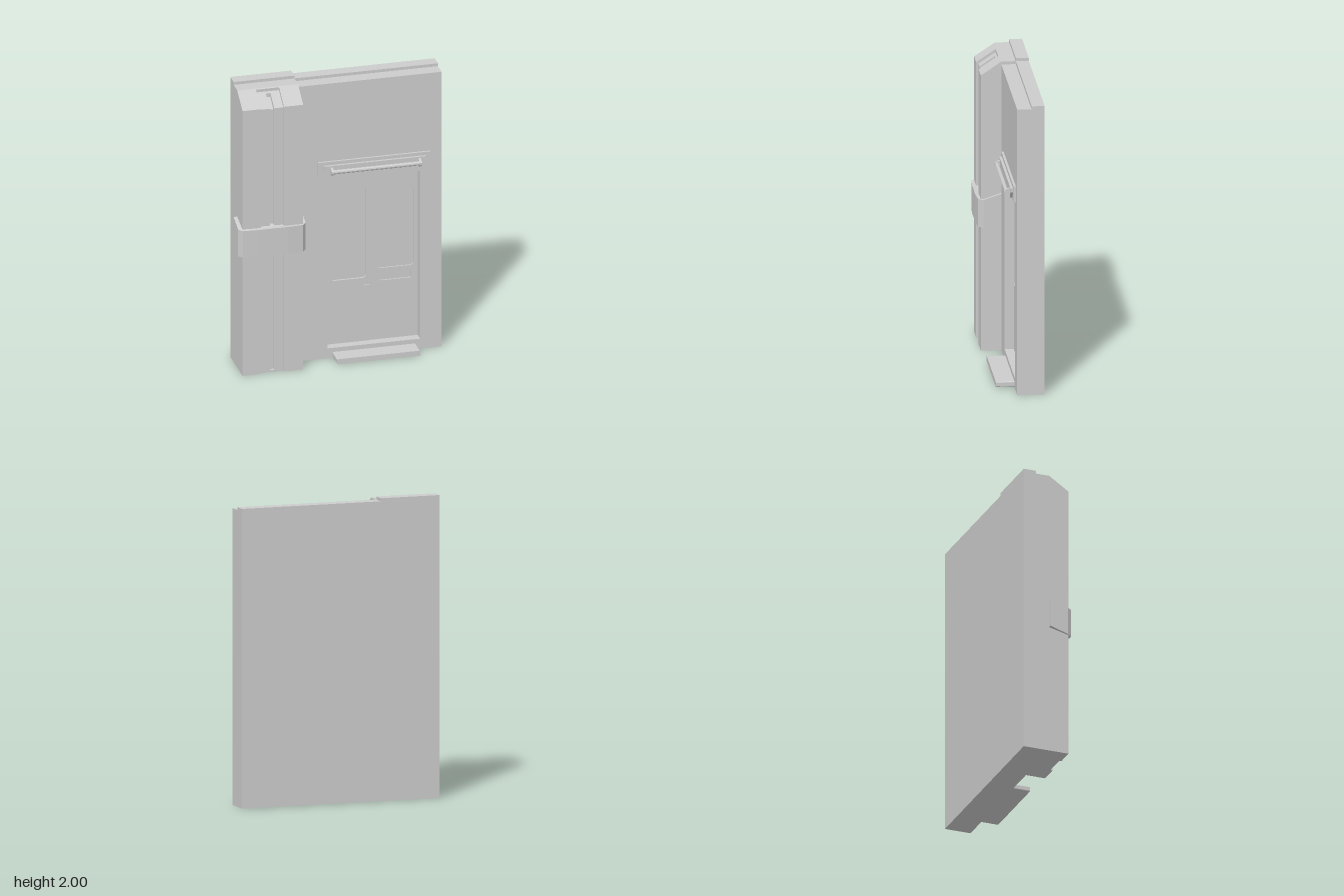
import * as THREE from 'three';

const material = new THREE.MeshStandardMaterial({ color: 0xcccccc, flatShading: true });

export function createModel() {
  const root = new THREE.Group();
  root.name = 'wallSection';

  const add = (name, geometry, parent = root) => {
    const mesh = new THREE.Mesh(geometry, material);
    mesh.name = name;
    parent.add(mesh);
    return mesh;
  };

  const group = (name) => {
    const g = new THREE.Group();
    g.name = name;
    root.add(g);
    return g;
  };

  // Box given by its extents
  const box = (name, x0, x1, y0, y1, z0, z1, parent) => add(name,
    new THREE.BoxGeometry(x1 - x0, y1 - y0, z1 - z0)
      .translate((x0 + x1) / 2, (y0 + y1) / 2, (z0 + z1) / 2), parent);

  const polygon = (pts) => new THREE.Shape(pts.map(([a, b]) => new THREE.Vector2(a, b)));

  // Rectangle with rounded corners
  const rounded = (x0, x1, y0, y1, r) => {
    const s = new THREE.Shape();
    s.absarc(x1 - r, y1 - r, r, 0, Math.PI / 2);
    s.absarc(x0 + r, y1 - r, r, Math.PI / 2, Math.PI);
    s.absarc(x0 + r, y0 + r, r, Math.PI, Math.PI * 1.5);
    s.absarc(x1 - r, y0 + r, r, Math.PI * 1.5, Math.PI * 2);
    s.closePath();
    return s;
  };

  // Front-facing plate extruded from z0 to z1
  const plate = (name, shape, z0, z1, parent) => add(name,
    new THREE.ExtrudeGeometry(shape, { depth: z1 - z0, bevelEnabled: false, curveSegments: 4 })
      .translate(0, 0, z0), parent);

  // Side profile of [z, y] points extruded from x0 to x1
  const sideProfile = (name, pts, x0, x1, parent) => add(name,
    new THREE.ExtrudeGeometry(polygon(pts), { depth: x1 - x0, bevelEnabled: false })
      .rotateY(-Math.PI / 2).translate(x1, 0, 0), parent);

  // Wall: taller back slab, front slab with the doorway opening
  const wall = group('wall');
  box('wallBack', -0.27, 0.7, 0, 1.98, -0.17, -0.085, wall);
  const face = polygon([[-0.27, 0], [0.7, 0], [0.7, 1.96], [-0.27, 1.96]]);
  face.holes.push(polygon([[-0.07, 0.07], [-0.07, 1.27], [0.555, 1.27], [0.555, 0.07]]));
  plate('wallFront', face, -0.085, 0.01, wall);

  // Column: stepped back and a sloped front with a channel and a narrow slot
  const column = group('column');
  box('columnBack', -0.68, -0.27, 0, 2, -0.17, -0.085, column);
  box('columnCore', -0.68, -0.27, 0, 1.98, -0.085, 0.01, column);
  const full = [[0.01, 0], [0.145, 0], [0.145, 1.89], [0.01, 1.98]];
  const channel = [[0.01, 0], [0.13, 0], [0.13, 1.88], [0.017, 1.955], [0.017, 1.975], [0.01, 1.98]];
  const slot = [[0.01, 0], [0.13, 0], [0.13, 0.012], [0.11, 0.012], [0.11, 1.865],
    [0.03, 1.92], [0.03, 1.946], [0.017, 1.955], [0.017, 1.975], [0.01, 1.98]];
  sideProfile('columnPier', full, -0.68, -0.555, column);
  sideProfile('columnPier', full, -0.4, -0.27, column);
  sideProfile('columnChannel', channel, -0.555, -0.492, column);
  sideProfile('columnChannel', channel, -0.462, -0.4, column);
  sideProfile('columnSlot', slot, -0.492, -0.462, column);

  // Band around the column, its arms rising toward the wall
  const outline = [[-0.705, 0.01], [-0.705, 0.13], [-0.68, 0.163], [-0.575, 0.17],
    [-0.38, 0.17], [-0.275, 0.163], [-0.25, 0.13], [-0.25, 0.01]];
  const bandGeometry = new THREE.ExtrudeGeometry(
    polygon(outline.map(([x, z]) => [x, -z])), { depth: 0.19, bevelEnabled: false })
    .rotateX(-Math.PI / 2).translate(0, 0.85, 0);
  const p = bandGeometry.attributes.position;
  for (let i = 0; i < p.count; i++) {
    p.setY(i, p.getY(i) + Math.max(0, 0.13 - p.getZ(i)) * 0.33);
  }
  bandGeometry.computeVertexNormals();
  add('columnBand', bandGeometry, column);

  // Double door with recessed windows, set back in the opening
  const door = group('door');
  box('doorBacking', -0.07, 0.555, 0.07, 1.27, -0.085, -0.064, door);
  const leaf = (name, x0, x1, z, holes) => {
    const s = polygon([[x0, 0.07], [x1, 0.07], [x1, 1.27], [x0, 1.27]]);
    s.holes.push(...holes);
    plate(name, s, -0.064, z, door);
  };
  leaf('fixedLeaf', -0.07, 0.24, -0.05, [rounded(-0.035, 0.205, 0.52, 1.18, 0.025)]);
  leaf('openingLeaf', 0.24, 0.555, -0.054, [
    rounded(0.27, 0.525, 0.575, 1.145, 0.025),
    polygon([[0.305, 0.487], [0.51, 0.487], [0.51, 0.55], [0.305, 0.55]])]);
  box('doorHandle', 0.19, 0.225, 0.387, 0.47, -0.05, -0.04, door);

  // Doorstep
  plate('doorstep', rounded(-0.037, 0.525, 0.004, 0.04, 0.007), 0.01, 0.132);

  // Lamp above the door: backplate, housing, tube and end brackets
  const lamp = group('lamp');
  box('lampPlate', -0.138, 0.62, 1.297, 1.407, 0.01, 0.025, lamp);
  plate('lampHousing', polygon([[-0.1, 1.357], [-0.052, 1.308], [0.542, 1.308],
    [0.585, 1.357], [0.585, 1.384], [-0.1, 1.384]]), 0.025, 0.042, lamp);
  add('lampTube', new THREE.CylinderGeometry(0.014, 0.014, 0.6, 10)
    .rotateZ(Math.PI / 2).translate(0.245, 1.347, 0.062), lamp);
  for (const s of [-1, 1]) {
    const x = 0.245 + s * 0.297;
    sideProfile('lampBracket', [[0.042, 1.318], [0.062, 1.325], [0.08, 1.34],
      [0.08, 1.355], [0.062, 1.37], [0.042, 1.375]], x - 0.008, x + 0.008, lamp);
  }

  return root;
}
